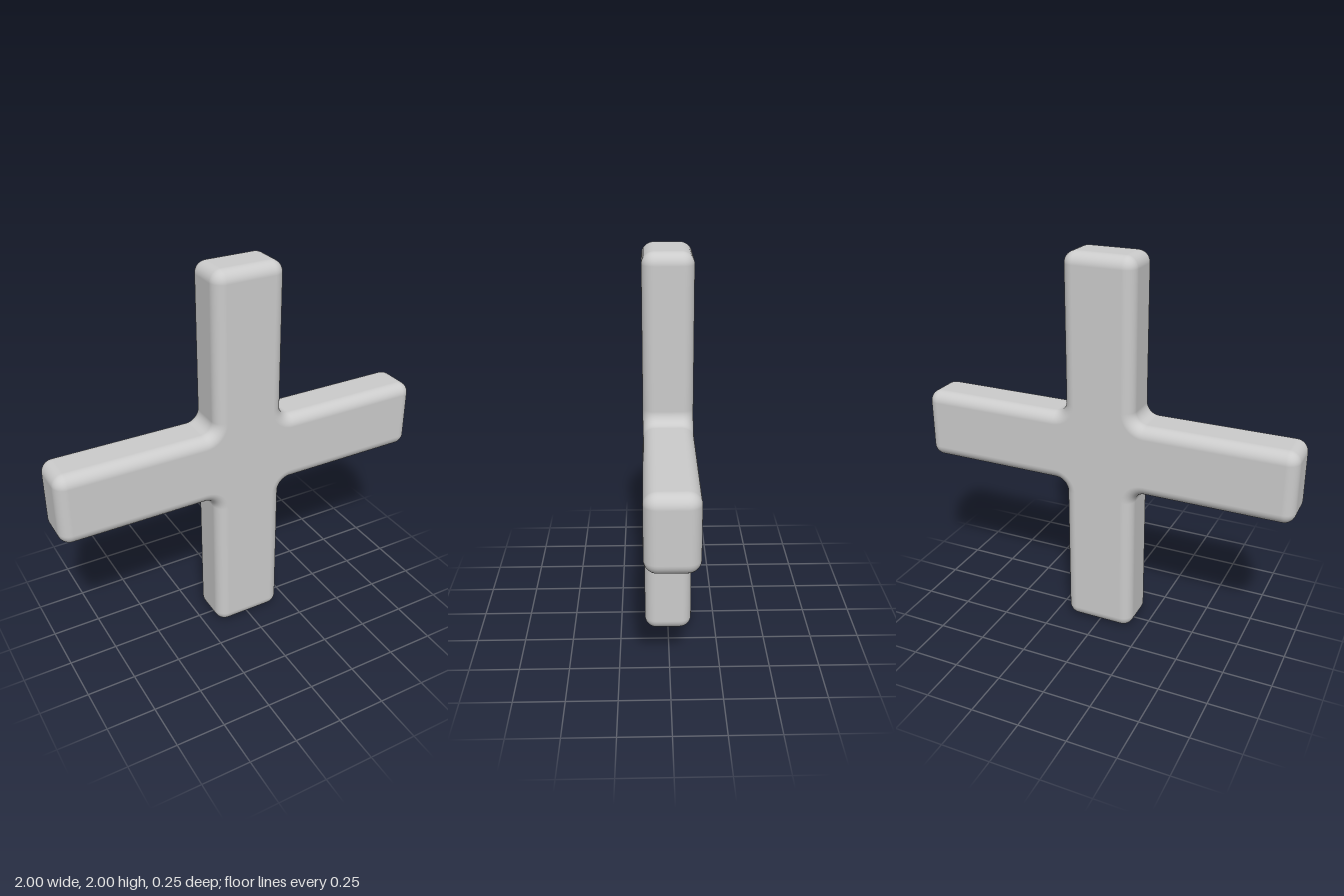
import * as THREE from 'three';
import { mergeGeometries } from 'three/addons/utils/BufferGeometryUtils.js';

const REACH = 1;         // centre to the end of each arm
const HALF_WIDTH = 0.186;
const HALF_DEPTH = 0.123;
const R = 0.06;          // radius of edges, corners and inner fillets
const STEPS = 8;         // segments per quarter round

// Outline of the cross, counter-clockwise, as points with outward normals.
function crossOutline() {
  const outline = [];
  const arc = (cx, cy, from, to, sign, turn) => {
    for (let i = 0; i <= STEPS; i++) {
      const a = THREE.MathUtils.degToRad(from + (to - from) * i / STEPS);
      const dir = new THREE.Vector2(Math.cos(a), Math.sin(a));
      const point = new THREE.Vector2(cx, cy).addScaledVector(dir, R);
      const origin = new THREE.Vector2();
      outline.push({
        point: point.rotateAround(origin, turn),
        normal: dir.multiplyScalar(sign).rotateAround(origin, turn),
      });
    }
  };
  for (let k = 0; k < 4; k++) {
    const turn = k * Math.PI / 2;
    arc(REACH - R, HALF_WIDTH - R, 0, 90, 1, turn);          // end corner
    arc(HALF_WIDTH + R, HALF_WIDTH + R, 270, 180, -1, turn); // inner fillet
    arc(HALF_WIDTH - R, REACH - R, 0, 90, 1, turn);          // next arm's end corner
  }
  return outline;
}

// Rounded rim swept around the outline from back to front.
function rimGeometry(outline) {
  const positions = [], normals = [], index = [];
  const rows = 2 * (STEPS + 1);
  for (const { point, normal } of outline) {
    for (let j = 0; j < rows; j++) {
      const front = j > STEPS;
      const phi = (front ? j - STEPS - 1 : j - STEPS) / STEPS * Math.PI / 2;
      const c = Math.cos(phi), s = Math.sin(phi);
      const p = point.clone().addScaledVector(normal, R * (c - 1));
      positions.push(p.x, p.y, (front ? 1 : -1) * (HALF_DEPTH - R) + R * s);
      normals.push(normal.x * c, normal.y * c, s);
    }
  }
  const n = outline.length;
  for (let i = 0; i < n; i++) {
    for (let j = 0; j < rows - 1; j++) {
      const a = i * rows + j, b = ((i + 1) % n) * rows + j;
      index.push(a, b, b + 1, a, b + 1, a + 1);
    }
  }
  const geometry = new THREE.BufferGeometry();
  geometry.setAttribute('position', new THREE.Float32BufferAttribute(positions, 3));
  geometry.setAttribute('normal', new THREE.Float32BufferAttribute(normals, 3));
  geometry.setIndex(index);
  return geometry;
}

// Flat face inside the rounded rim.
function faceGeometry(outline) {
  const points = outline
    .map(({ point, normal }) => point.clone().addScaledVector(normal, -R))
    .filter((p, i, all) => i === 0 || p.distanceTo(all[i - 1]) > 1e-5);
  const geometry = new THREE.ShapeGeometry(new THREE.Shape(points));
  geometry.deleteAttribute('uv');
  return geometry.translate(0, 0, HALF_DEPTH);
}

export function createModel() {
  const outline = crossOutline();
  const geometry = mergeGeometries([
    rimGeometry(outline),
    faceGeometry(outline),
    faceGeometry(outline).rotateY(Math.PI),
  ]);
  const cross = new THREE.Mesh(geometry, new THREE.MeshStandardMaterial({ color: 0xcccccc }));
  cross.name = 'roundedCross';
  cross.position.y = REACH;

  const model = new THREE.Group();
  model.name = 'cross';
  model.add(cross);
  return model;
}
